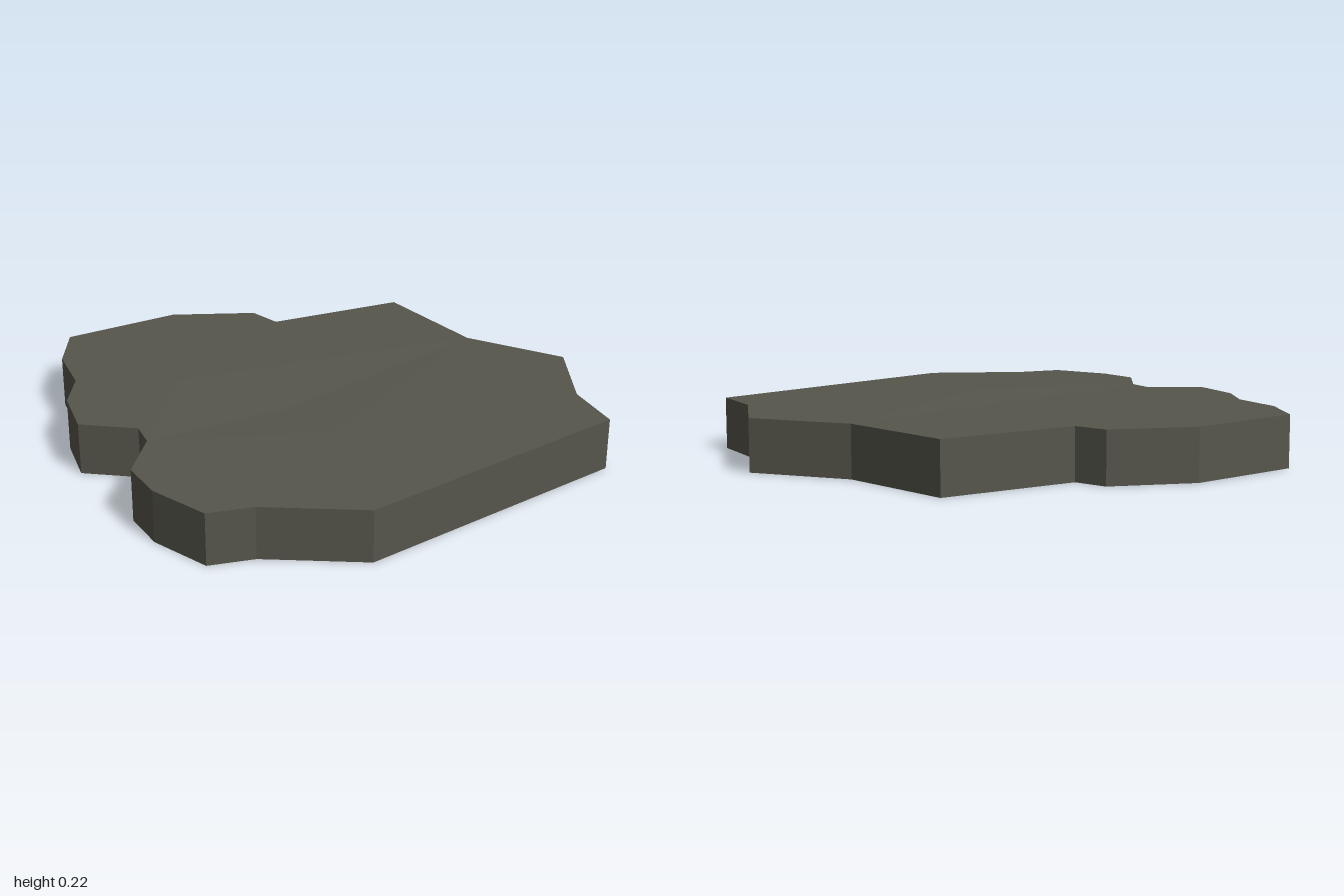
import * as THREE from 'three';

const H = 0.215;

// Slab outline as [x, z], clockwise seen from above, starting at the right edge of the hollow
const south = [[0.81, 0.06], [1, 0.45], [0.79, 0.74], [0.73, 0.98], [-0.45, 0.98], [-0.77, 0.71],
  [-0.94, 0.64], [-1, 0.39], [-0.98, 0.21], [-0.81, 0.05]];
const north = [[-0.81, 0.05], [-0.78, -0.06], [-0.95, -0.23], [-0.88, -0.44], [-0.76, -0.58],
  [-0.7, -0.8], [-0.56, -0.98], [-0.07, -0.92], [0.23, -0.72], [0.25, -0.58], [0.81, -0.44], [0.81, 0.06]];
const outline = [...south.slice(0, -1), ...north.slice(0, -1)];

// Flat cap over a polygon, facing up (dir = 1) or down (dir = -1)
function addCap(out, poly, y, dir) {
  const pts = poly.map(([x, z]) => new THREE.Vector2(x, z));
  for (const f of THREE.ShapeUtils.triangulateShape(pts, [])) {
    addTriangle(out, f.map(i => [poly[i][0], y, poly[i][1]]), dir);
  }
}

// Triangle turned so that its normal points up or down
function addTriangle(out, [a, b, c], dir) {
  const ny = (b[2] - a[2]) * (c[0] - a[0]) - (b[0] - a[0]) * (c[2] - a[2]);
  out.push(...a, ...(ny * dir > 0 ? [...b, ...c] : [...c, ...b]));
}

function makeMesh(name, positions, material) {
  const g = new THREE.BufferGeometry();
  g.setAttribute('position', new THREE.Float32BufferAttribute(positions, 3));
  g.computeVertexNormals();
  const mesh = new THREE.Mesh(g, material);
  mesh.name = name;
  return mesh;
}

export function createModel() {
  const group = new THREE.Group();
  group.name = 'stoneSlab';
  const stone = new THREE.MeshStandardMaterial({ color: 0x57564c });
  stone.name = 'dark stone';

  // Top: two flat parts around a very shallow hollow
  const top = [];
  const front = [-0.2, 0.42], back = [-0.42, -0.33];
  addCap(top, [...south, front], H, 1);
  addCap(top, [...north, back], H, 1);
  const rim = [south[0], front, north[0], back];
  rim.forEach(([x, z], i) => {
    const [x2, z2] = rim[(i + 1) % 4];
    addTriangle(top, [[x, H, z], [x2, H, z2], [-0.2, H - 0.015, 0.12]], 1);
  });

  // Underside
  const bottom = [];
  addCap(bottom, outline, 0, -1);

  // Upright sides
  const sides = [];
  outline.forEach(([ax, az], i) => {
    const [bx, bz] = outline[(i + 1) % outline.length];
    sides.push(bx, 0, bz, ax, 0, az, ax, H, az, bx, 0, bz, ax, H, az, bx, H, bz);
  });

  group.add(makeMesh('topSurface', top, stone), makeMesh('underside', bottom, stone), makeMesh('sides', sides, stone));
  return group;
}
